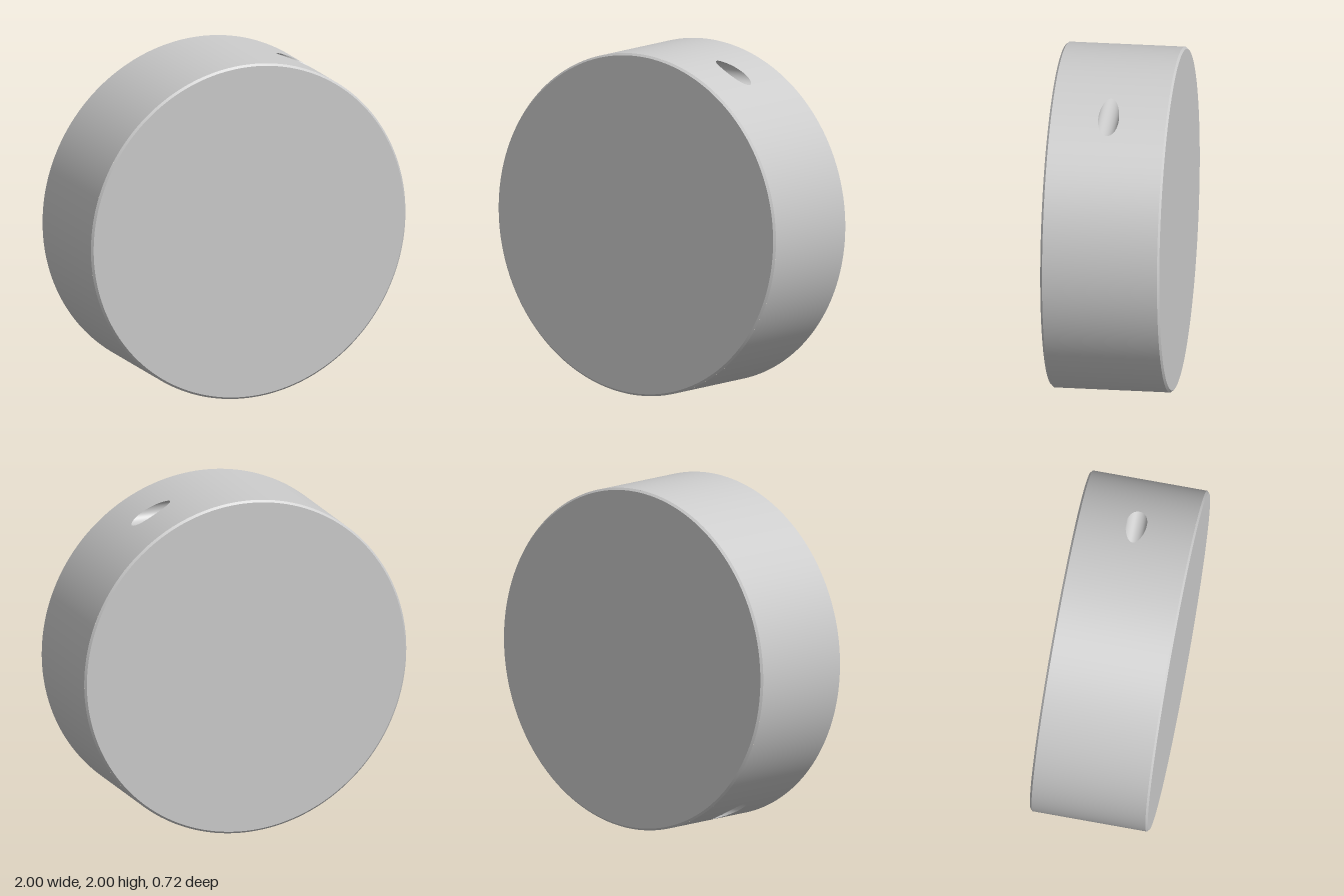
import * as THREE from 'three';
import { ParametricGeometry } from 'three/addons/geometries/ParametricGeometry.js';

const R = 0.996;        // disc radius
const H = 0.345;        // half thickness
const C = 0.012;        // edge chamfer
const HOLE_R = 0.06;    // side hole radius
const HOLE_Y = 0.88;    // side hole height above the disc centre
const HOLE_END = 0;     // x of the blind end of the hole
const MID = 1.1, HALF = 0.2; // angular window of the rim around a hole

export function createModel() {
  const model = new THREE.Group();
  model.name = 'disc';
  const material = new THREE.MeshStandardMaterial({ color: 0xcccccc });

  const add = (parent, name, geometry) => {
    const mesh = new THREE.Mesh(geometry, material);
    mesh.name = name;
    parent.add(mesh);
    return mesh;
  };

  // Flat face and chamfer, front and back
  for (const side of ['front', 'back']) {
    const half = new THREE.Group();
    half.name = side + 'Side';
    add(half, side + 'Face', new THREE.CircleGeometry(R - C, 192).translate(0, 0, H));
    add(half, side + 'Chamfer',
      new THREE.CylinderGeometry(R - C, R, C, 192, 1, true).rotateX(Math.PI / 2).translate(0, 0, H - C / 2));
    if (side === 'back') half.rotation.y = Math.PI;
    model.add(half);
  }

  // Angle and depth of a point on the mouth of the hole
  const mouth = (t) => [Math.asin((HOLE_Y + HOLE_R * Math.cos(t)) / R), HOLE_R * Math.sin(t)];

  // Rim surface between the round mouth and its rectangular window
  const rimPatch = (u, v, p) => {
    const t = v * Math.PI * 2, c = Math.cos(t), s = Math.sin(t);
    const k = 1 / Math.max(Math.abs(c), Math.abs(s));
    const [a0, z0] = mouth(t);
    const a = THREE.MathUtils.lerp(a0, MID + HALF * c * k, u);
    const z = THREE.MathUtils.lerp(z0, (H - C) * s * k, u);
    p.set(R * Math.cos(a), R * Math.sin(a), z);
  };

  // Bore running inwards along x
  const bore = (u, v, p) => {
    const t = u * Math.PI * 2;
    const [a, z] = mouth(t);
    p.set(THREE.MathUtils.lerp(R * Math.cos(a), HOLE_END, v), R * Math.sin(a), z);
  };

  // Two identical halves of the rim, each with one blind side hole
  for (let i = 0; i < 2; i++) {
    const half = new THREE.Group();
    half.name = i === 0 ? 'upperRim' : 'lowerRim';
    add(half, 'rimWall', new THREE.CylinderGeometry(R, R, 2 * (H - C), 96, 1, true,
      MID + HALF + Math.PI / 2, Math.PI - 2 * HALF).rotateX(Math.PI / 2));
    add(half, 'rimAroundHole', new ParametricGeometry(rimPatch, 10, 96));
    add(half, 'holeWall', new ParametricGeometry(bore, 96, 2));
    add(half, 'holeEnd', new THREE.CircleGeometry(HOLE_R, 48)
      .rotateY(Math.PI / 2).translate(HOLE_END, HOLE_Y, 0));
    half.rotation.z = i * Math.PI;
    model.add(half);
  }

  // The disc stands on its rim with a very slight lean
  model.rotation.set(0.012, -0.0115, 0);
  model.position.y = 1;

  const root = new THREE.Group();
  root.name = 'model';
  root.add(model);
  return root;
}
